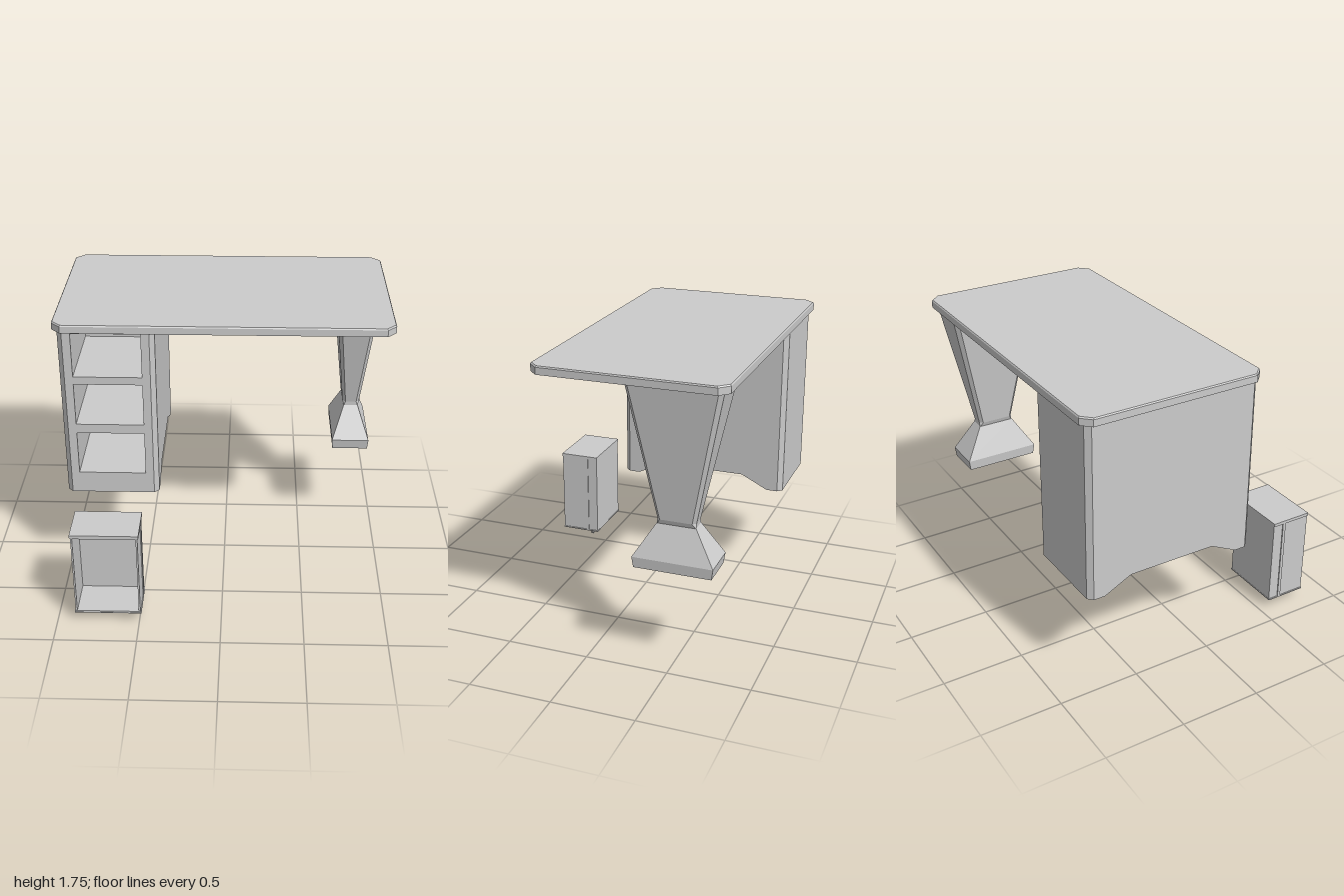
import * as THREE from 'three';

const material = new THREE.MeshStandardMaterial({ color: 0xcccccc, flatShading: true });

// Skins a list of rings (each an array of [x, y, z]) with flat quads and optional end caps.
function loft(rings, capStart = true, capEnd = true) {
  const pos = [];
  const same = (a, b) => a.every((v, i) => Math.abs(v - b[i]) < 1e-6);
  const tri = (a, b, c) => {
    if (!same(a, b) && !same(b, c) && !same(a, c)) pos.push(...a, ...b, ...c);
  };
  const fan = (r) => { for (let i = 1; i < r.length - 1; i++) tri(r[0], r[i], r[i + 1]); };
  for (let i = 0; i < rings.length - 1; i++) {
    const r = rings[i], s = rings[i + 1];
    r.forEach((p, j) => {
      const k = (j + 1) % r.length;
      tri(p, r[k], s[k]);
      tri(p, s[k], s[j]);
    });
  }
  if (capStart) fan([...rings[0]].reverse());
  if (capEnd) fan(rings[rings.length - 1]);
  const geo = new THREE.BufferGeometry();
  geo.setAttribute('position', new THREE.Float32BufferAttribute(pos, 3));
  geo.computeVertexNormals();
  return geo;
}

// Horizontal rectangle with corners cut by c.
const ringY = (y, cx, cz, hx, hz, c = 0) => [
  [hx - c, hz], [hx, hz - c], [hx, c - hz], [hx - c, -hz],
  [c - hx, -hz], [-hx, c - hz], [-hx, hz - c], [c - hx, hz],
].map(([x, z]) => [cx + x, y, cz + z]);

// Upright rectangle facing +z.
const ringZ = (z, x0, x1, y0, y1) => [[x0, y0, z], [x1, y0, z], [x1, y1, z], [x0, y1, z]];

const polygon = (pts) => pts.map(([x, y]) => new THREE.Vector2(x, y));

function add(parent, name, geo, x = 0, y = 0, z = 0) {
  const mesh = new THREE.Mesh(geo, material);
  mesh.name = name;
  mesh.position.set(x, y, z);
  parent.add(mesh);
  return mesh;
}

function group(parent, name) {
  const g = new THREE.Group();
  g.name = name;
  parent.add(g);
  return g;
}

function buildCabinet(parent) {
  const g = group(parent, 'cabinet');
  const cx = -0.685, top = 1.7;
  // Shell from front to back: [z, half width, bottom height]; the bottom is notched.
  const sections = [
    [-0.79, 0.255, 0.61], [-0.76, 0.285, 0.61], [-0.69, 0.285, 0.61], [-0.52, 0.285, 0.695],
    [0.03, 0.285, 0.695], [0.2, 0.285, 0.61], [0.27, 0.285, 0.61], [0.3, 0.255, 0.61],
  ];
  add(g, 'cabinetShell', loft(
    sections.map(([z, h, y]) => ringZ(z, cx - h, cx + h, y, top)), true, false));

  // Front frame with three openings and a pocket behind each one
  const frame = new THREE.Shape(polygon([[-0.94, 0.61], [-0.43, 0.61], [-0.43, top], [-0.94, top]]));
  const x0 = -0.89, x1 = -0.48;
  for (const [y0, y1] of [[0.75, 1.03], [1.09, 1.36], [1.41, 1.69]]) {
    frame.holes.push(new THREE.Path(polygon([[x0, y0], [x0, y1], [x1, y1], [x1, y0]])));
    add(g, 'drawerOpening', loft([ringZ(0.3, x0, x1, y0, y1), ringZ(-0.27, x0, x1, y0, y1)], false, true));
  }
  add(g, 'cabinetFront', new THREE.ShapeGeometry(frame), 0, 0, 0.3);
}

function buildLeg(parent) {
  const g = group(parent, 'leg');
  const cx = 0.826, cz = -0.505;
  // Tapered column with cut corners, narrowing into the neck
  add(g, 'legColumn', loft([
    ringY(0.87, cx, cz, 0.045, 0.115),
    ringY(0.9, cx, cz, 0.055, 0.115, 0.02),
    ringY(1.7, cx, cz, 0.138, 0.28, 0.025),
  ]));
  // Hollow foot: up the inside first, then round the rim and up the outside
  add(g, 'foot', loft([
    ringY(0.85, cx, cz, 0.03, 0.095),
    ringY(0.675, cx, cz, 0.1, 0.22),
    ringY(0.61, cx, cz, 0.097, 0.212),
    ringY(0.61, cx, cz, 0.115, 0.231),
    ringY(0.675, cx, cz, 0.12, 0.24),
    ringY(0.875, cx, cz, 0.045, 0.115),
  ]));
}

function buildDrawer(parent) {
  const g = group(parent, 'drawer');
  const x0 = -0.886, x1 = -0.491, y0 = 0.066, y1 = 0.625, t = 0.01;
  // Open tray standing on its front end
  add(g, 'drawerTray', loft([
    ringZ(0.557, x0, x1, y0, y1),
    ringZ(0.813, x0, x1, y0, y1),
    ringZ(0.813, x0 + t, x1 - t, y0 + t, y1 - 0.02),
    ringZ(0.567, x0 + t, x1 - t, y0 + t, y1 - 0.02),
  ]));
  add(g, 'drawerBackPanel', new THREE.BoxGeometry(0.407, 0.02, 0.26), -0.6885, 0.62, 0.685);
  add(g, 'drawerFrontPanel', new THREE.BoxGeometry(0.407, 0.008, 0.26), -0.6885, 0.066, 0.685);
  // Slim runners on both sides
  for (const x of [x0, x1]) {
    add(g, 'drawerRunner', new THREE.BoxGeometry(0.012, 0.55, 0.02), x, 0.34, 0.632);
  }
  // Bent bar handle
  const bar = new THREE.Shape(polygon([
    [-0.848, 0.065], [-0.805, 0], [-0.575, 0], [-0.532, 0.065],
    [-0.55, 0.065], [-0.585, 0.015], [-0.795, 0.015], [-0.83, 0.065],
  ]));
  add(g, 'drawerHandle', new THREE.ExtrudeGeometry(bar, { depth: 0.015, bevelEnabled: false }), 0, 0, 0.625);
}

export function createModel() {
  const model = new THREE.Group();
  model.name = 'desk';
  // Top slab with cut corners and a fine bevel
  add(model, 'tabletop', loft([
    ringY(1.7, 0, -0.25, 1, 0.57, 0.055),
    ringY(1.742, 0, -0.25, 1, 0.57, 0.055),
    ringY(1.75, 0, -0.25, 0.995, 0.565, 0.055),
  ]));
  buildCabinet(model);
  buildLeg(model);
  buildDrawer(model);
  return model;
}
